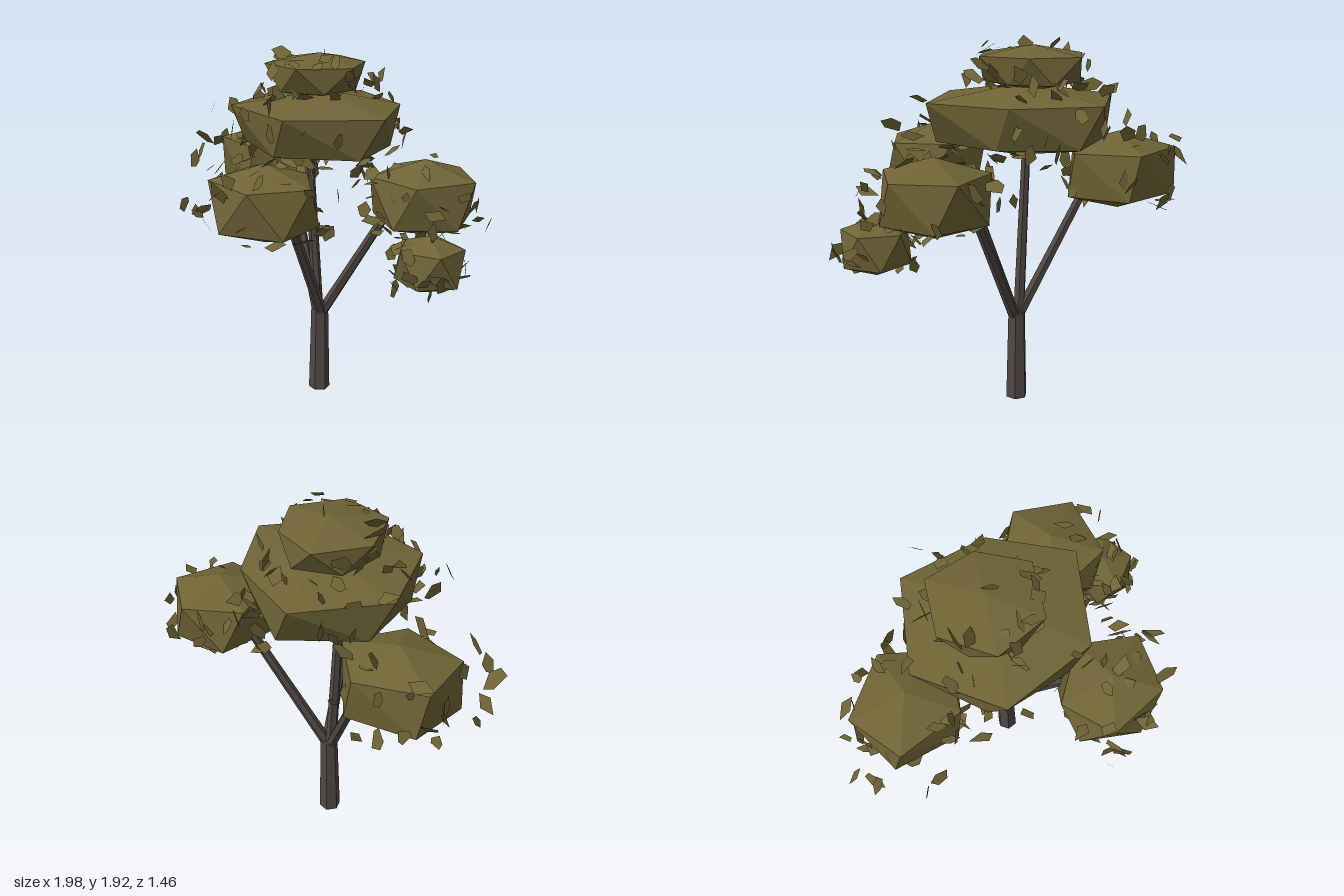
import * as THREE from 'three';
import { ConvexGeometry } from 'three/addons/geometries/ConvexGeometry.js';

const V = (x, y, z) => new THREE.Vector3(x, y, z);

// small seeded generator
let seed = 7;
function rand(a = 0, b = 1) {
  seed = (seed * 16807) % 2147483647;
  return a + (b - a) * (seed / 2147483647);
}

// tapered six-sided limb between two points
function limb(name, from, to, r0, r1, material) {
  const axis = to.clone().sub(from);
  const geometry = new THREE.CylinderGeometry(r1, r0, axis.length(), 6).rotateY(Math.PI / 12).toNonIndexed();
  geometry.computeVertexNormals();
  const mesh = new THREE.Mesh(geometry, material);
  mesh.name = name;
  mesh.position.copy(from).addScaledVector(axis, 0.5);
  mesh.quaternion.setFromUnitVectors(V(0, 1, 0), axis.normalize());
  return mesh;
}

// faceted clump: two rings between a top and a bottom point, the lower one
// turned by "stagger" of a step; the last corner is cut in by the factor "cut"
function clumpGeometry({ center, radius, sides = 5, twist, stagger = 0.5, taper = 1, cut = 1 }) {
  const points = [V(0, radius.y, 0), V(0, -radius.y, 0)];
  for (let k = 0; k < sides; k++) {
    const step = (Math.PI * 2) / sides;
    const upper = THREE.MathUtils.degToRad(twist) + k * step;
    const lower = upper + step * stagger;
    const grow = k === sides - 1 ? cut : 1;
    const shrink = grow * taper;
    points.push(
      V(Math.cos(upper) * radius.x * grow, radius.y * 0.57, Math.sin(upper) * radius.z * grow),
      V(Math.cos(lower) * radius.x * shrink, -radius.y * 0.57, Math.sin(lower) * radius.z * shrink),
    );
  }
  return new ConvexGeometry(points.map((p) => p.add(center)));
}

// loose flat leaves scattered over and just off a clump's faces
function leavesGeometry(clump, count, reach) {
  const pos = clump.attributes.position;
  const corner = (i) => V(0, 0, 0).fromBufferAttribute(pos, i);
  const data = [];
  for (let n = 0; n < count; n++) {
    const t = Math.floor(rand(0, pos.count / 3)) * 3;
    const [a, b, c] = [corner(t), corner(t + 1), corner(t + 2)];
    let u = rand(), v = rand();
    if (u + v > 1) { u = 1 - u; v = 1 - v; }
    const ab = b.sub(a), ac = c.sub(a);
    const normal = ab.clone().cross(ac).normalize();
    const centre = a.addScaledVector(ab, u).addScaledVector(ac, v);
    // leaves stray sideways more than up or down
    centre.addScaledVector(normal.clone().multiply(V(1, 0.35, 1)), reach * rand() ** 1.7);

    // leaf plane: outward direction mixed with a random tilt
    const facing = V(rand(-1, 1), rand(-1, 1), rand(-1, 1)).multiplyScalar(rand(0.2, 2)).add(normal).normalize();
    const side = V(rand(-1, 1), rand(-1, 1), rand(-1, 1)).cross(facing).normalize();
    const along = facing.clone().cross(side);
    const corners = rand() < 0.6 ? 4 : 5;
    const length = rand(0.04, 0.07), width = rand(0.025, 0.042);
    const rim = [];
    for (let k = 0; k < corners; k++) {
      const angle = ((k + rand(-0.28, 0.28)) / corners) * Math.PI * 2;
      rim.push(centre.clone()
        .addScaledVector(along, Math.cos(angle) * length)
        .addScaledVector(side, -Math.sin(angle) * width));
    }
    for (let k = 1; k < corners - 1; k++) {
      for (const p of [rim[0], rim[k], rim[k + 1]]) data.push(p.x, p.y, p.z);
    }
  }
  const geometry = new THREE.BufferGeometry();
  geometry.setAttribute('position', new THREE.Float32BufferAttribute(data, 3));
  geometry.computeVertexNormals();
  return geometry;
}

export function createModel() {
  seed = 7;
  const bark = new THREE.MeshStandardMaterial({ color: 0x504843 });
  bark.name = 'bark';
  const foliage = new THREE.MeshStandardMaterial({ color: 0x6f6436, side: THREE.DoubleSide });
  foliage.name = 'foliage';

  const tree = new THREE.Group();
  tree.name = 'tree';

  // trunk and branches
  const fork = V(-0.018, 0.46, -0.155);
  tree.add(limb('trunk', V(-0.018, 0, -0.155), V(-0.018, 0.48, -0.155), 0.058, 0.047, bark));
  const branchEnds = {
    rightBranch: V(-0.41, 1.25, -0.32),
    leftBranch: V(0.41, 1.22, -0.31),
    frontBranch: V(0.065, 1.25, 0.26),
    middleBranch: V(-0.09, 1.42, -0.14),
  };
  for (const [name, end] of Object.entries(branchEnds)) {
    const start = fork.clone().add(V(Math.sign(end.x - fork.x) * 0.014, 0, 0));
    tree.add(limb(name, start, end, 0.031, 0.023, bark));
  }

  // foliage clumps
  const clumps = [
    { name: 'crownTop', center: V(-0.07, 1.76, -0.2), radius: V(0.28, 0.115, 0.29),
      sides: 6, twist: 13, taper: 0.85, cut: 0.85, leaves: 30, reach: 0.14 },
    { name: 'crown', center: V(-0.02, 1.51, -0.19), radius: V(0.5, 0.18, 0.48),
      sides: 6, twist: 16, stagger: 0.2, taper: 0.87, cut: 0.8, leaves: 44, reach: 0.17 },
    { name: 'rightClump', center: V(-0.54, 1.215, -0.35), radius: V(0.31, 0.205, 0.27),
      twist: 0, stagger: 0.15, leaves: 36, reach: 0.2 },
    { name: 'frontClump', center: V(0.1, 1.235, 0.41), radius: V(0.28, 0.195, 0.25),
      twist: -5, leaves: 34, reach: 0.15 },
    { name: 'leftClump', center: V(0.56, 1.205, -0.27), radius: V(0.27, 0.195, 0.28),
      twist: -9, stagger: 0.35, taper: 0.97, cut: 0.95, leaves: 46, reach: 0.16 },
    { name: 'smallClump', center: V(0.75, 0.955, -0.05), radius: V(0.17, 0.145, 0.165),
      twist: 40, leaves: 28, reach: 0.1 },
  ];
  for (const clump of clumps) {
    const group = new THREE.Group();
    group.name = clump.name;
    const geometry = clumpGeometry(clump);
    const body = new THREE.Mesh(geometry, foliage);
    body.name = clump.name + 'Body';
    const leaves = new THREE.Mesh(leavesGeometry(geometry, clump.leaves, clump.reach), foliage);
    leaves.name = clump.name + 'Leaves';
    group.add(body, leaves);
    tree.add(group);
  }
  return tree;
}
